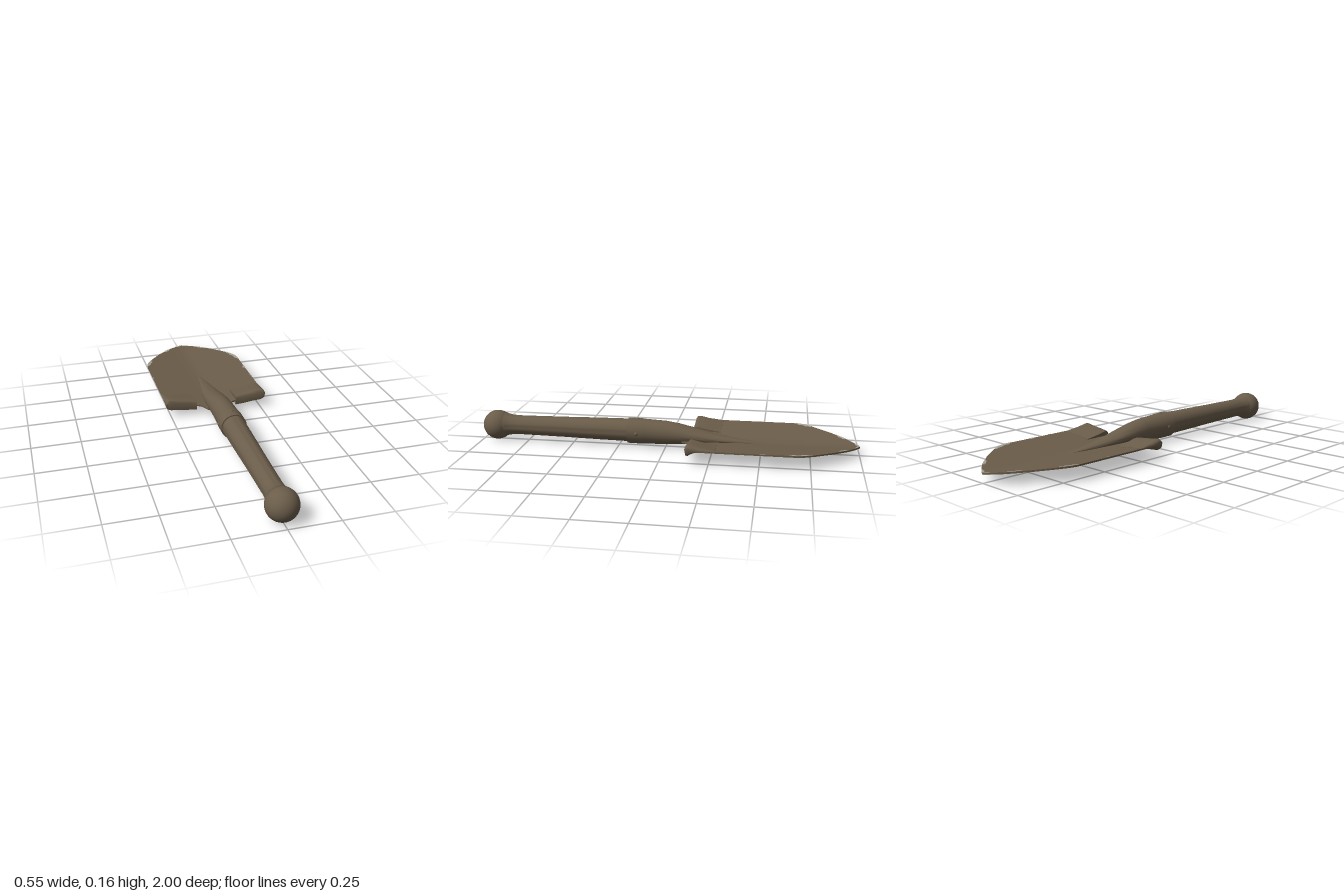
import * as THREE from 'three';
import { toCreasedNormals } from 'three/addons/utils/BufferGeometryUtils.js';

const paint = new THREE.MeshStandardMaterial({ color: 0x6b5d4a });
paint.name = 'brown paint';
const steel = new THREE.MeshStandardMaterial({ color: 0xa3a195, side: THREE.DoubleSide });
steel.name = 'worn steel';

// Skins closed loops of points; each loop runs counterclockwise seen from the first one's outside.
function loft(loops, crease = 0.6) {
  const n = loops[0].length, index = [], last = (loops.length - 1) * n;
  for (let k = 0; k < loops.length - 1; k++) {
    for (let i = 0; i < n; i++) {
      const a = k * n + i, b = k * n + (i + 1) % n;
      index.push(a, a + n, b, b, a + n, b + n);
    }
  }
  for (let i = 0; i < n / 2 - 1; i++) {
    const j = n - 1 - i;
    index.push(i, i + 1, j, i + 1, j - 1, j);
    index.push(last + i, last + j, last + i + 1, last + i + 1, last + j, last + j - 1);
  }
  const geo = new THREE.BufferGeometry();
  geo.setAttribute('position', new THREE.Float32BufferAttribute(loops.flat(2), 3));
  geo.setIndex(index);
  return toCreasedNormals(geo, crease);
}

// Piecewise linear lookup in [key, value] pairs with descending keys
function lookup(table, key) {
  for (let i = 1; i < table.length; i++) {
    const [k0, v0] = table[i - 1], [k1, v1] = table[i];
    if (key >= k1) return THREE.MathUtils.lerp(v0, v1, THREE.MathUtils.clamp((k0 - key) / (k0 - k1), 0, 1));
  }
  return table[table.length - 1][1];
}

// Blade half width and height, by position
const OUTLINE = [[0, 0.275], [-0.66, 0.275], [-0.69, 0.272], [-0.72, 0.262], [-0.77, 0.233],
  [-0.86, 0.165], [-0.94, 0.088], [-0.975, 0.042], [-1, 0.002]];
const halfWidth = z => lookup(OUTLINE, z);
const bladeY = (x, z) => lookup([[0, 0.041], [-0.7, 0.041], [-1, 0.046]], z)
  + 0.12 * Math.max(0, Math.sqrt(x * x + 0.0009) - 0.03) * 1.05;
const THICK = 0.004;

function bladeGeometry() {
  const cols = 48;
  const rows = [-0.14, -0.2, -0.3, -0.4, -0.5, -0.6, -0.66, -0.69, -0.72, -0.77, -0.815,
    -0.86, -0.9, -0.94, -0.975, -1];
  const loops = rows.map((z, r) => {
    const bottom = [], top = [];
    for (let i = 0; i <= cols; i++) {
      const x = (i / cols * 2 - 1) * halfWidth(z);
      // rounded web running into the socket
      const web = r ? 0 : 0.05 * THREE.MathUtils.clamp((0.1 - Math.abs(x)) / 0.04, 0, 1) ** 2;
      const y = bladeY(x, z);
      bottom.push([x, y - THICK, z + web]);
      top.unshift([x, y + THICK, z + web]);
    }
    return [...bottom, ...top];
  });
  return loft(loops);
}

// Socket sections: z, half width, top, bottom
function socketGeometry() {
  const sections = [[0.2, 0.067, 0.148, 0.013], [0.13, 0.067, 0.147, 0.012], [0.11, 0.063, 0.145, 0.013],
    [0, 0.06, 0.139, 0.015], [-0.07, 0.059, 0.128, 0.019], [-0.14, 0.058, 0.111, 0.025],
    [-0.2, 0.054, 0.095, 0.029], [-0.27, 0.046, 0.08, 0.033], [-0.35, 0.034, 0.066, 0.035],
    [-0.43, 0.022, 0.055, 0.036], [-0.52, 0.006, 0.045, 0.037]];
  return loft(sections.map(([z, w, top, bottom]) => Array.from({ length: 32 }, (_, i) => {
    const a = i / 32 * Math.PI * 2;
    return [w * Math.cos(a), (top + bottom) / 2 + (top - bottom) / 2 * Math.sin(a), z];
  })), 0.9);
}

// Foot rest: the rear edge of the blade rises and rolls over
function lipGeometry(side) {
  const profile = [[0.137, -0.027], [0.147, -0.03], [0.16, -0.02], [0.19, -0.006], [0.28, -0.002],
    [0.28, 0.004], [0.2, 0.018], [0.155, 0.029], [0.141, 0.028], [0.133, 0.016]];
  const stations = [[0.276, 0.4], [0.272, 0.7], [0.264, 0.9], [0.25, 1], [0.2, 0.93], [0.15, 0.95], [0.11, 0.9]];
  const loops = stations.map(([x, s]) => profile.map(([a, y]) => [side * x, 0.041 + 0.118 * x + y * s, -a]));
  if (side < 0) loops.reverse();
  return loft(loops, 0.9);
}

// Chipped paint: a ragged strip hugging the blade outline on one face
function chipGeometry(side, face, z0, z1, width) {
  const steps = 8, pos = [], index = [];
  for (let i = 0; i <= steps; i++) {
    const z = THREE.MathUtils.lerp(z0, z1, i / steps), w = halfWidth(z);
    const ragged = width * Math.sin(Math.PI * i / steps) ** 0.5 * (0.8 + 0.2 * Math.sin(i * 2.4));
    for (const x of [w + 0.001, Math.max(0, w - ragged)]) {
      pos.push(side * x, bladeY(x, z) + face * (THICK + 0.0015), z);
    }
    if (i < steps) {
      const a = i * 2;
      if (side * face > 0) index.push(a, a + 2, a + 1, a + 1, a + 2, a + 3);
      else index.push(a, a + 1, a + 2, a + 1, a + 3, a + 2);
    }
  }
  const geo = new THREE.BufferGeometry();
  geo.setAttribute('position', new THREE.Float32BufferAttribute(pos, 3));
  geo.setIndex(index);
  geo.computeVertexNormals();
  return geo;
}

export function createModel() {
  const model = new THREE.Group();
  model.name = 'shovel';
  const add = (name, geo, mat = paint) => {
    const mesh = new THREE.Mesh(geo, mat);
    mesh.name = name;
    model.add(mesh);
    return mesh;
  };

  // Handle with a flared neck and a ball grip
  const profile = [[0, 0.1], [0.06, 0.1], [0.06, 0.2], [0.058, 0.35], [0.054, 0.55], [0.052, 0.7], [0.051, 0.8],
    [0.053, 0.835], [0.058, 0.86], [0.065, 0.88], [0, 0.9]].map(p => new THREE.Vector2(...p));
  const handle = add('handle', toCreasedNormals(new THREE.LatheGeometry(profile, 40), 0.6));
  handle.rotation.x = Math.PI / 2;
  handle.position.y = 0.082;
  add('ballGrip', new THREE.SphereGeometry(0.078, 40, 28)).position.set(0, 0.079, 0.922);

  // Socket and its rivets
  add('socket', socketGeometry());
  for (const [x, y] of [[0.064, 0.08], [-0.064, 0.08], [0, 0.144]]) {
    const rivet = add('rivet', new THREE.SphereGeometry(0.011, 14, 10));
    rivet.position.set(x, y, 0.15);
    rivet.scale.set(x ? 0.7 : 1, x ? 1 : 0.7, 1);
  }

  // Blade and rolled foot rests
  add('blade', bladeGeometry());
  for (const side of [1, -1]) add('footRest', lipGeometry(side));

  // Worn spots along the cutting edge: sides, z range, width
  const chips = [[[1, -1], -0.999, -0.972, 0.03], [[1, -1], -0.935, -0.885, 0.024],
    [[1], -0.77, -0.63, 0.022], [[-1], -0.765, -0.67, 0.024], [[1], -0.53, -0.5, 0.016],
    [[1], -0.41, -0.38, 0.006], [[-1], -0.51, -0.485, 0.006]];
  for (const [sides, z0, z1, width] of chips) {
    for (const side of sides) {
      for (const face of [1, -1]) add('wornEdge', chipGeometry(side, face, z0, z1, width), steel);
    }
  }

  // Stand the lowest point on the ground
  const box = new THREE.Box3().setFromObject(model);
  model.children.forEach(part => { part.position.y -= box.min.y; });
  return model;
}
